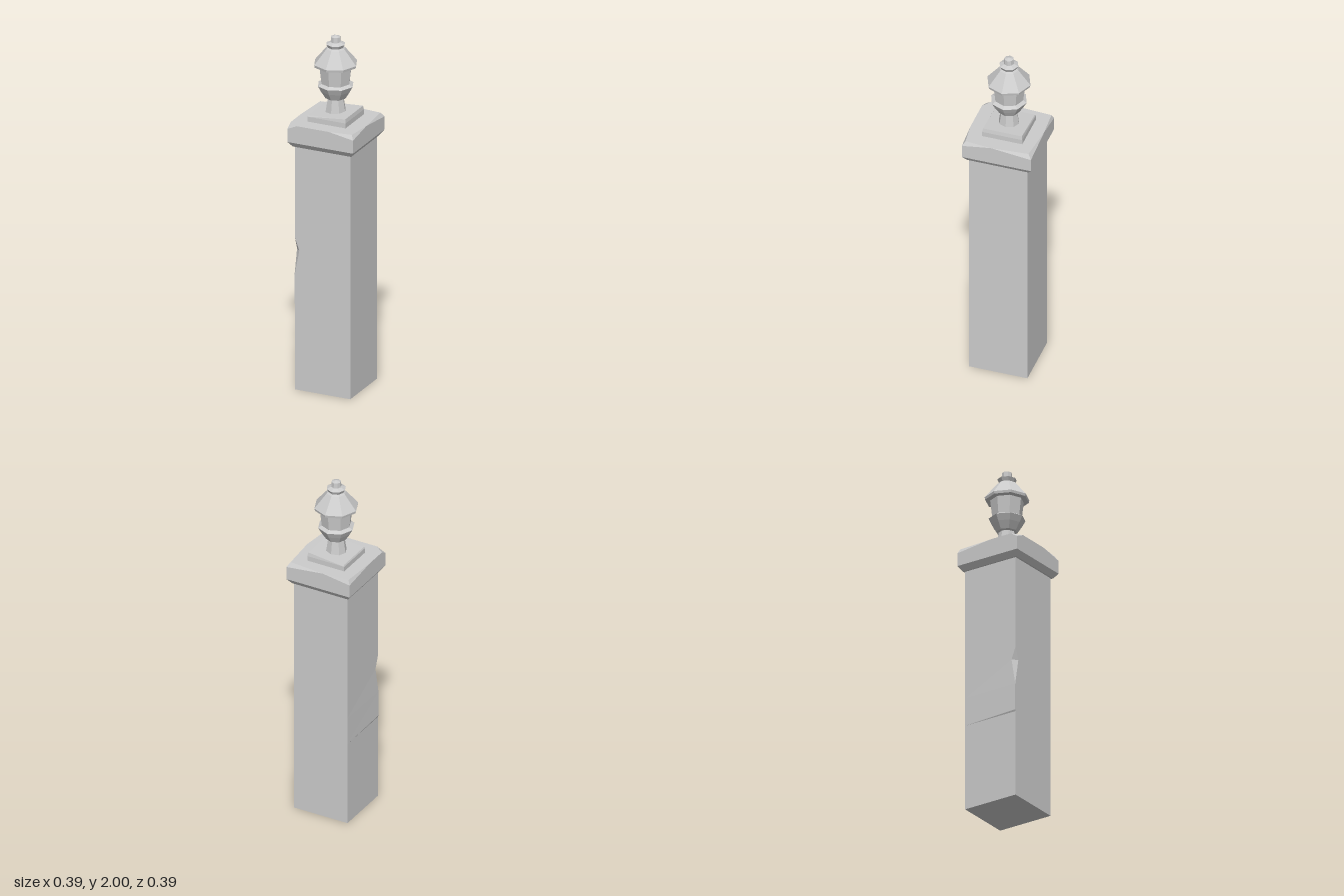
import * as THREE from 'three';
import { ConvexGeometry } from 'three/addons/geometries/ConvexGeometry.js';

const stone = new THREE.MeshStandardMaterial({ color: 0xcccccc, flatShading: true });

function part(name, geometry) {
  const mesh = new THREE.Mesh(geometry, stone);
  mesh.name = name;
  return mesh;
}

// Four corners of a horizontal square, centred on (c, c)
const square = (half, y, c = 0) =>
  [[-1, 1], [1, 1], [1, -1], [-1, -1]].map(([x, z]) => [c + x * half, y, c + z * half]);

const hull = (points) => new ConvexGeometry(points.map((p) => new THREE.Vector3(...p)));

// Square shaft whose front right corner is chipped: each level is [height, cut]
function shaftGeometry() {
  const a = -0.165, b = 0.162;
  const levels = [[0, 0], [0.49, 0], [0.5, -0.004], [0.65, -0.003], [0.8, 0.026], [0.87, 0], [1.4, 0]];
  const rings = levels.map(([y, cut]) => {
    const out = Math.min(cut, 0), c = Math.max(cut, 0);
    return [[a + out, y, b - c], [a + out + c, y, b], [b, y, b], [b, y, a], [a, y, a]]
      .map((p) => new THREE.Vector3(...p));
  });
  const pos = [];
  const tri = (p, q, r) => {
    const area = q.clone().sub(p).cross(r.clone().sub(p)).length();
    if (area > 1e-9) [p, q, r].forEach((v) => pos.push(v.x, v.y, v.z));
  };
  for (let i = 0; i < rings.length - 1; i++) {
    for (let j = 0; j < 5; j++) {
      const k = (j + 1) % 5, lo = rings[i], hi = rings[i + 1];
      tri(lo[j], lo[k], hi[k]);
      tri(lo[j], hi[k], hi[j]);
    }
  }
  const bottom = rings[0], top = rings[rings.length - 1];
  for (let j = 1; j < 4; j++) {
    tri(bottom[0], bottom[j + 1], bottom[j]);
    tri(top[0], top[j], top[j + 1]);
  }
  const g = new THREE.BufferGeometry();
  g.setAttribute('position', new THREE.Float32BufferAttribute(pos, 3));
  g.computeVertexNormals();
  return g;
}

export function createModel() {
  const model = new THREE.Group();
  model.name = 'gatePost';
  model.add(part('shaft', shaftGeometry()));

  // Cap slab: bevelled underside, worn corners around an uneven top outline
  const topOutline = [
    [-0.182, -0.184], [-0.03, -0.195], [0.177, -0.176], [0.193, 0.03], [0.178, 0.177],
    [0.05, 0.193], [-0.14, 0.193], [-0.195, 0.152], [-0.195, 0.02],
  ];
  model.add(part('cap', hull([
    ...square(0.172, 1.395, -0.001),
    ...square(0.194, 1.425, -0.001),
    ...square(0.194, 1.5, -0.001),
    ...topOutline.map(([x, z]) => [x, 1.525, z]),
  ])));

  // Plinth under the finial, slightly lower on one side
  model.add(part('plinth', hull([
    ...square(0.113, 1.52, -0.005),
    ...square(0.113, 1.553, -0.005),
    ...square(0.109, 1.568, -0.005).map(([x, y, z]) => [x, y + x * 0.06, z]),
  ])));

  // Eight-sided lantern finial, profile as [radius, height]
  const profile = [
    [0, 1.56], [0.058, 1.56], [0.045, 1.64], [0.057, 1.645], [0.082, 1.685], [0.1, 1.718],
    [0.08, 1.73], [0.091, 1.825], [0.118, 1.828], [0.121, 1.842], [0.053, 1.925],
    [0.042, 1.932], [0.053, 1.952], [0.028, 1.963], [0.026, 1.992], [0, 2],
  ].map(([r, y]) => new THREE.Vector2(r, y));
  const finial = part('finial', new THREE.LatheGeometry(profile, 8));
  finial.position.set(-0.005, 0, -0.005);
  model.add(finial);
  return model;
}
